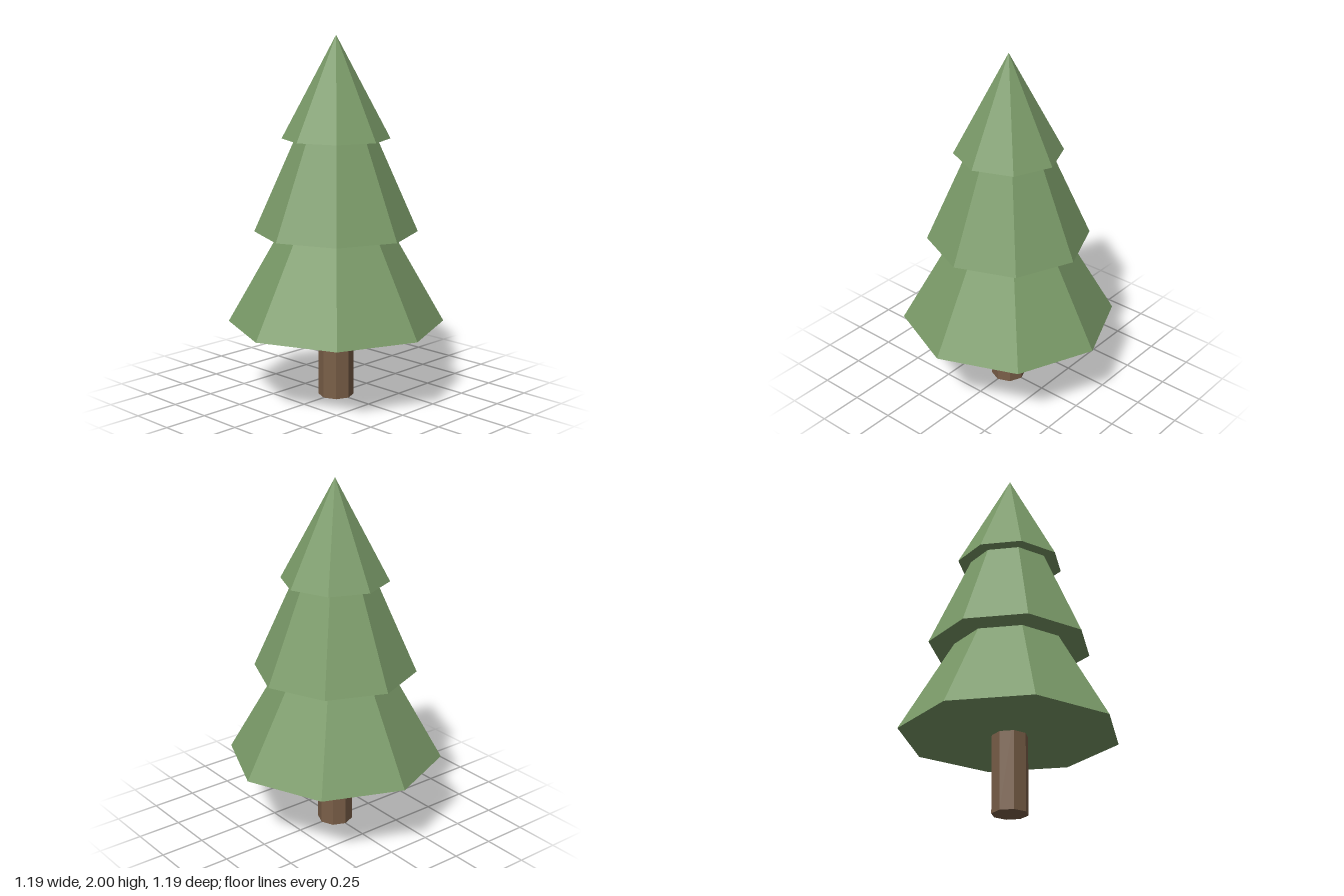
import * as THREE from 'three';

const SIDES = 8;

export function createModel() {
  const tree = new THREE.Group();
  tree.name = 'pineTree';

  const bark = new THREE.MeshStandardMaterial({ color: 0x7a5f48, flatShading: true });
  const needles = new THREE.MeshStandardMaterial({ color: 0x7a9a68, flatShading: true });

  // Trunk, running a little way into the lowest tier
  const trunkHeight = 0.5;
  const trunk = new THREE.Mesh(new THREE.CylinderGeometry(0.098, 0.098, trunkHeight, SIDES), bark);
  trunk.name = 'trunk';
  trunk.position.y = trunkHeight / 2;
  tree.add(trunk);

  // Three overlapping cones of foliage, bottom to top
  const tiers = [
    { name: 'lowerFoliage', radius: 0.597, base: 0.425, tip: 1.475 },
    { name: 'middleFoliage', radius: 0.449, base: 0.933, tip: 1.95 },
    { name: 'upperFoliage', radius: 0.295, base: 1.445, tip: 2 },
  ];
  for (const { name, radius, base, tip } of tiers) {
    const cone = new THREE.Mesh(new THREE.ConeGeometry(radius, tip - base, SIDES), needles);
    cone.name = name;
    cone.position.y = (base + tip) / 2;
    tree.add(cone);
  }

  return tree;
}
